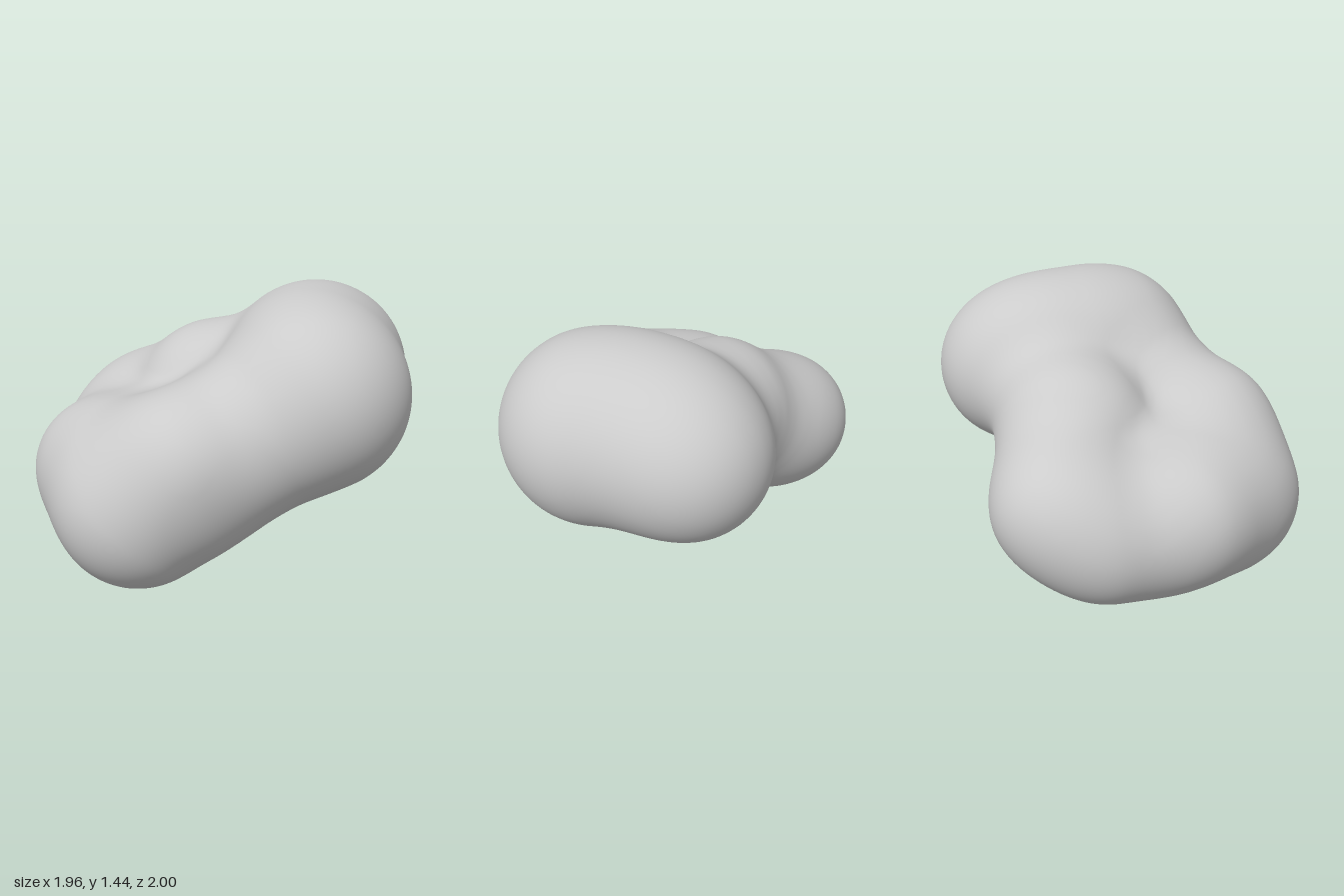
import * as THREE from 'three';
import { mergeVertices } from 'three/addons/utils/BufferGeometryUtils.js';

// Lobes of the blob: x, y, z, radius
const LOBES = [
  [0.49, 0.93, -0.18, 0.487],  // upper side
  [0.28, 1.00, -0.38, 0.41],   // crown
  [0.22, 0.94, -0.58, 0.42],   // upper back
  [-0.17, 0.82, -0.20, 0.36],  // middle
  [-0.20, 0.77, -0.07, 0.33],  // middle, front slope
  [-0.40, 0.64, -0.12, 0.30],  // link from middle to outer side
  [-0.62, 0.59, -0.08, 0.35],  // outer side
  [-0.59, 0.455, 0.14, 0.345], // outer underside
  [-0.40, 0.38, 0.30, 0.28],   // lower link to the front corner
  [-0.35, 0.49, 0.47, 0.375],  // front corner
  [-0.08, 0.53, 0.43, 0.35],   // front filling
  [0.00, 0.43, 0.57, 0.43],    // lower front
  [0.22, 0.68, 0.46, 0.36],    // upper front
  [0.25, 0.50, 0.35, 0.28],    // underside of the bridge
  [0.33, 0.74, 0.12, 0.39],    // bridge from front to upper side
  [-0.15, 0.56, 0.12, 0.31],   // core
];
const BLEND = 0.18;
const CORE = new THREE.Vector3(0, 0.7, 0.05);

// Distance to the lobes, rounded where they meet
function distance(p) {
  let d = Infinity;
  for (const [x, y, z, r] of LOBES) {
    const e = Math.hypot(p.x - x, p.y - y, p.z - z) - r;
    const h = Math.max(BLEND - Math.abs(d - e), 0) / BLEND;
    d = Math.min(d, e) - h * h * BLEND / 4;
  }
  return d;
}

// Walk in from outside until the skin is reached
function skinPoint(dir) {
  const p = new THREE.Vector3();
  let t = 1.8;
  for (let i = 0; i < 150; i++) {
    const d = distance(p.copy(CORE).addScaledVector(dir, t));
    if (d < 0.0005) break;
    t -= d * 0.9;
  }
  return p;
}

export function createModel() {
  const group = new THREE.Group();
  group.name = 'blob';

  // Even sphere whose vertices are moved onto the skin
  let geometry = new THREE.IcosahedronGeometry(1, 40);
  geometry.deleteAttribute('uv');
  geometry.deleteAttribute('normal');
  geometry = mergeVertices(geometry, 1e-5);

  const pos = geometry.attributes.position;
  const dir = new THREE.Vector3();
  for (let i = 0; i < pos.count; i++) {
    const p = skinPoint(dir.fromBufferAttribute(pos, i).normalize());
    pos.setXYZ(i, p.x, p.y, p.z);
  }
  geometry.computeVertexNormals();

  const body = new THREE.Mesh(geometry, new THREE.MeshStandardMaterial({ color: 0xcccccc }));
  body.name = 'lobedBody';
  group.add(body);
  return group;
}
